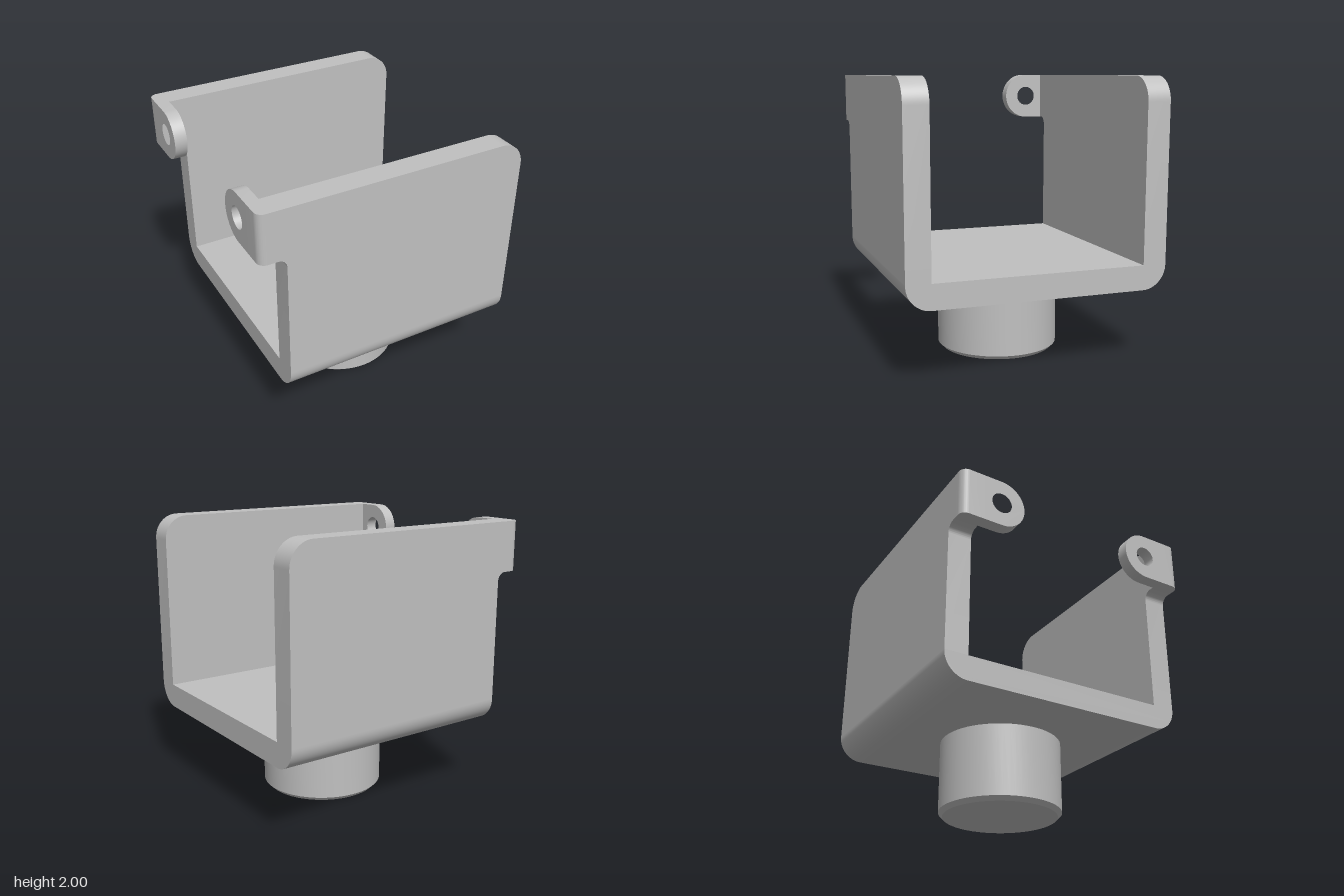
import * as THREE from 'three';
import { toCreasedNormals } from 'three/addons/utils/BufferGeometryUtils.js';

// Closed right-angled outline from [a, b, cornerRadius] corners.
function roundedOutline(corners) {
  const points = [];
  corners.forEach(([x, y, r = 0], i) => {
    const p = new THREE.Vector2(x, y);
    if (!r) return points.push(p);
    const n = corners.length;
    const prev = corners[(i + n - 1) % n], next = corners[(i + 1) % n];
    const u = new THREE.Vector2(prev[0] - x, prev[1] - y).normalize();
    const v = new THREE.Vector2(next[0] - x, next[1] - y).normalize();
    for (let k = 0; k <= 16; k++) {
      const t = (k / 16) * Math.PI / 2;
      points.push(p.clone()
        .addScaledVector(u, r * (1 - Math.sin(t)))
        .addScaledVector(v, r * (1 - Math.cos(t))));
    }
  });
  return new THREE.Shape(points);
}

function extrude(shape, depth) {
  return new THREE.ExtrudeGeometry(shape, { depth, bevelEnabled: false, curveSegments: 24 });
}

export function createModel() {
  const group = new THREE.Group();
  const steel = new THREE.MeshStandardMaterial({ color: 0xc0c0c0 });
  steel.name = 'grey steel';

  function add(name, geometry) {
    const mesh = new THREE.Mesh(toCreasedNormals(geometry, 0.5), steel);
    mesh.name = name;
    group.add(mesh);
  }

  const left = -0.96, right = 0.955, wallStart = -0.78, earInner = -0.87;
  const outer = 0.92, inner = 0.75, thick = outer - inner;
  const base = 0.545, floorTop = 0.72, tabBottom = 1.645, top = 2;

  // Floor of the channel, rounded along its lower edges
  add('channelFloor', extrude(roundedOutline([
    [-outer, base, 0.172], [outer, base, 0.172], [outer, floorTop], [-outer, floorTop],
  ]), right - wallStart).rotateY(Math.PI / 2).translate(wallStart, 0, 0));

  for (const s of [1, -1]) {
    const side = s > 0 ? 'front' : 'back';

    // Side wall with a rounded top corner and a filleted step under the tab
    add(side + 'Wall', extrude(roundedOutline([
      [wallStart, floorTop], [right, floorTop], [right, top, 0.172], [earInner, top],
      [earInner, tabBottom], [wallStart, tabBottom, 0.06],
    ]), thick).translate(0, 0, s > 0 ? inner : -outer));

    // Bent corner joining the wall to its ear
    add(side + 'TabCorner', extrude(roundedOutline([
      [left, -s * inner], [left, -s * outer, 0.055], [earInner, -s * outer], [earInner, -s * inner],
    ]), top - tabBottom).rotateX(-Math.PI / 2).translate(0, tabBottom, 0));

    // Ear with a round end and a pin hole
    const r = (top - tabBottom) / 2, tip = 0.438;
    const ear = roundedOutline([
      [-s * inner, tabBottom], [-s * tip, tabBottom, r], [-s * tip, top, r], [-s * inner, top],
    ]);
    const hole = new THREE.Path();
    hole.absarc(-s * (tip + r), tabBottom + r, 0.076, 0, Math.PI * 2, true);
    ear.holes.push(hole);
    add(side + 'Ear', extrude(ear, earInner - left).rotateY(Math.PI / 2).translate(left, 0, 0));
  }

  // Round post with a chamfered foot
  const profile = [[0, 0], [0.412, 0], [0.442, 0.03], [0.442, 0.58], [0, 0.58]]
    .map(([x, y]) => new THREE.Vector2(x, y));
  add('post', new THREE.LatheGeometry(profile, 64).translate(0.088, 0, 0));

  return group;
}
